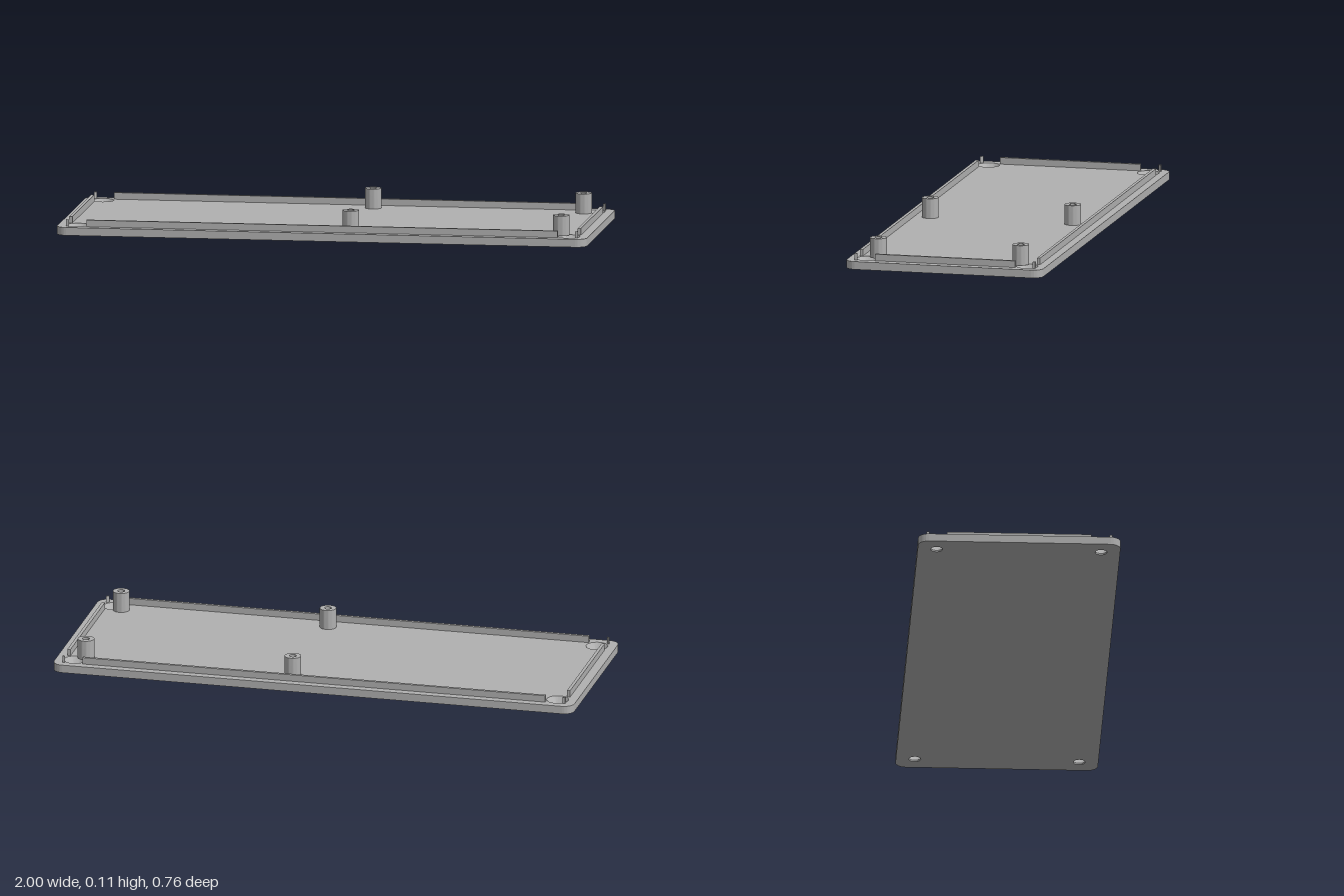
import * as THREE from 'three';
import { toCreasedNormals } from 'three/addons/utils/BufferGeometryUtils.js';

const X = 1, Z = 0.378, T = 0.03;          // plate half sizes and thickness
const SX = 0.927, SZ = 0.307;              // screw hole centres
const LIP_X = 0.966, LIP_Z = 0.347;        // outer edge of the lip
const LIP_W = 0.012, LIP_H = 0.025;
const SIDES = [-1, 1];

export function createModel() {
  const model = new THREE.Group();
  const grey = new THREE.MeshStandardMaterial({ color: 0xb0b0b0 });
  grey.name = 'grey plastic';

  const add = (name, geometry, x = 0, y = 0, z = 0) => {
    const mesh = new THREE.Mesh(geometry, grey);
    mesh.name = name;
    mesh.position.set(x, y, z);
    model.add(mesh);
    return mesh;
  };
  const extrudeUp = (shape, depth) => toCreasedNormals(
    new THREE.ExtrudeGeometry(shape, { depth, bevelEnabled: false, curveSegments: 24 })
      .rotateX(-Math.PI / 2), 0.5);
  const lathe = (points) => toCreasedNormals(
    new THREE.LatheGeometry(points.map(([r, y]) => new THREE.Vector2(r, y)), 48), 0.5);

  // Rounded base plate with four openings
  const r = 0.04;
  const outline = new THREE.Shape();
  outline.absarc(X - r, Z - r, r, 0, Math.PI / 2);
  outline.absarc(-X + r, Z - r, r, Math.PI / 2, Math.PI);
  outline.absarc(-X + r, -Z + r, r, Math.PI, Math.PI * 1.5);
  outline.absarc(X - r, -Z + r, r, Math.PI * 1.5, Math.PI * 2);
  outline.closePath();
  for (const sx of SIDES) for (const sz of SIDES) {
    const hole = new THREE.Path();
    hole.absarc(sx * SX, sz * SZ, 0.041, 0, Math.PI * 2, true);
    outline.holes.push(hole);
  }
  add('basePlate', extrudeUp(outline, T));

  // Countersunk seats that narrow the openings towards the underside
  const seat = lathe([[0.041, T], [0.022, 0.006], [0.022, 0], [0.041, 0]]);
  for (const sx of SIDES) for (const sz of SIDES) add('screwSeat', seat, sx * SX, 0, sz * SZ);

  // Locating lip: four straight rails that stop short of the screw holes
  const longRail = new THREE.BoxGeometry(1.778, LIP_H, LIP_W);
  const shortRail = new THREE.BoxGeometry(LIP_W, LIP_H, 0.54);
  for (const s of SIDES) {
    add('longLipRail', longRail, 0, T + LIP_H / 2, s * (LIP_Z - LIP_W / 2));
    add('shortLipRail', shortRail, s * (LIP_X - LIP_W / 2), T + LIP_H / 2, 0);
  }

  // Small wedges left at the lip corners, outside the holes
  const wedge = 0.011;
  for (const sx of SIDES) for (const sz of SIDES) {
    const x = sx * LIP_X, y = -sz * LIP_Z;
    const corner = new THREE.Shape();
    corner.moveTo(x, y);
    corner.lineTo(x - sx * wedge, y);
    corner.lineTo(x, y + sz * wedge);
    corner.closePath();
    add('lipCorner', extrudeUp(corner, LIP_H), 0, T, 0);
  }

  // Hollow mounting bosses
  const boss = lathe([
    [0, 0], [0.031, 0], [0.031, 0.075], [0.013, 0.075], [0.013, 0.001], [0, 0.001],
  ]);
  for (const x of [0.098, 0.893]) for (const s of SIDES) add('mountingBoss', boss, x, T, s * 0.274);

  return model;
}
